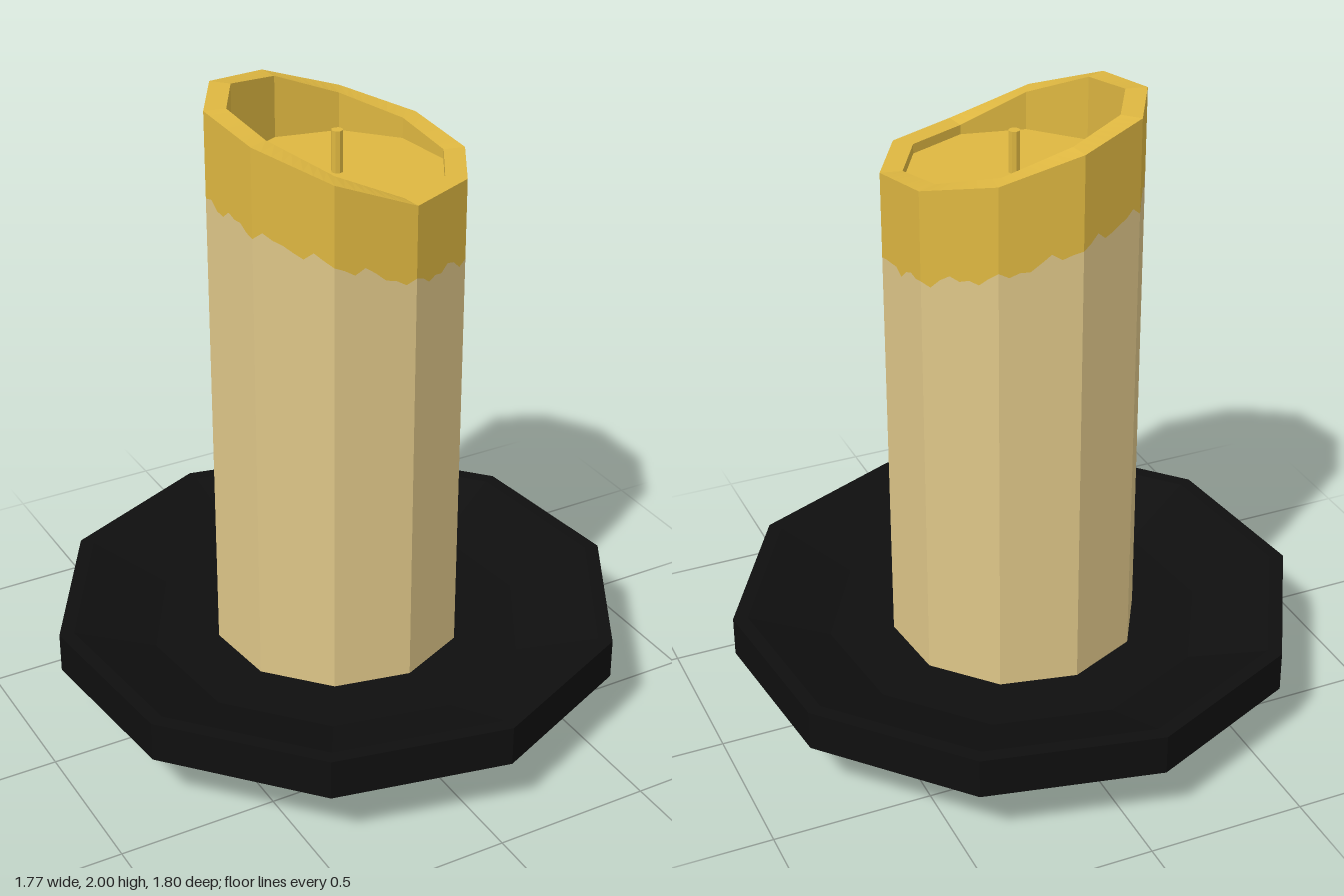
import * as THREE from 'three';

const SIDES = 10, STEPS = 8, START = 12.2 * Math.PI / 180;
const N = SIDES * STEPS;
// Height of the slanted rim and of the dipped wax edge at each corner
const RIM = [1.8, 1.8, 1.8, 1.89, 1.97, 2.0, 2.0, 1.965, 1.89, 1.835];
const DIP = [1.525, 1.55, 1.56, 1.645, 1.71, 1.73, 1.72, 1.68, 1.61, 1.555];

const along = (list, i) => {
  const k = Math.floor(i / STEPS), t = (i % STEPS) / STEPS;
  return list[k % SIDES] * (1 - t) + list[(k + 1) % SIDES] * t;
};

// Ring of points on a ten-sided outline; height is a function of the step
function ring(radius, height) {
  const xs = [], zs = [];
  for (let k = 0; k < SIDES; k++) {
    const a = START + k * 2 * Math.PI / SIDES;
    xs.push(Math.cos(a) * radius);
    zs.push(Math.sin(a) * radius);
  }
  return Array.from({ length: N }, (_, i) => [along(xs, i), height(i), along(zs, i)]);
}

// Skin a list of rings with flat faces
function skin(rings) {
  const pos = [];
  for (let r = 0; r + 1 < rings.length; r++) {
    const a = rings[r], b = rings[r + 1];
    for (let i = 0; i < N; i++) {
      const j = (i + 1) % N;
      pos.push(...a[i], ...b[i], ...b[j], ...a[i], ...b[j], ...a[j]);
    }
  }
  const g = new THREE.BufferGeometry();
  g.setAttribute('position', new THREE.Float32BufferAttribute(pos, 3));
  g.computeVertexNormals();
  return g;
}

export function createModel() {
  const black = new THREE.MeshStandardMaterial({ color: 0x0f0f0f });
  const cream = new THREE.MeshStandardMaterial({ color: 0xdec688 });
  const gold = new THREE.MeshStandardMaterial({ color: 0xdeb741 });
  black.name = 'black metal';
  cream.name = 'cream wax';
  gold.name = 'golden wax';

  const group = new THREE.Group();
  group.name = 'candle';
  const add = (name, geometry, material) => {
    const mesh = new THREE.Mesh(geometry, material);
    mesh.name = name;
    group.add(mesh);
    return mesh;
  };

  // Dished plate with a tapered foot
  const profile = [[0, 0], [0.2, 0], [0.605, 0.19], [0.906, 0.19], [0.906, 0.32],
    [0.86, 0.32], [0.6, 0.22], [0, 0.22]].map(p => new THREE.Vector2(...p));
  const plate = new THREE.LatheGeometry(profile, SIDES, Math.PI / 2 - START).toNonIndexed();
  plate.computeVertexNormals();
  add('plate', plate, black);

  // Wax column, split along the wavy dipped edge
  const R = 0.395, INNER = 0.328, FLOOR = 1.77;
  const dip = i => along(DIP, i) + 0.012 * Math.sin(i * 1.3) + 0.009 * Math.sin(i * 2.45 + 1);
  const rim = i => along(RIM, i);
  const edge = ring(R, dip);
  add('column', skin([ring(R, () => 0.215), edge]), cream);
  add('moltenTop', skin([edge, ring(R, rim), ring(INNER, rim)]), gold);

  // Hollow inside the rim
  add('hollow', skin([ring(INNER, rim), ring(INNER, () => FLOOR)]), gold);
  const pool = new THREE.CircleGeometry(INNER, SIDES, -START);
  pool.rotateX(-Math.PI / 2);
  add('pool', pool, gold).position.y = FLOOR;

  // Wick
  const wick = new THREE.CylinderGeometry(0.018, 0.018, 0.13, 8).toNonIndexed();
  wick.computeVertexNormals();
  add('wick', wick, gold).position.y = FLOOR + 0.065;

  return group;
}
